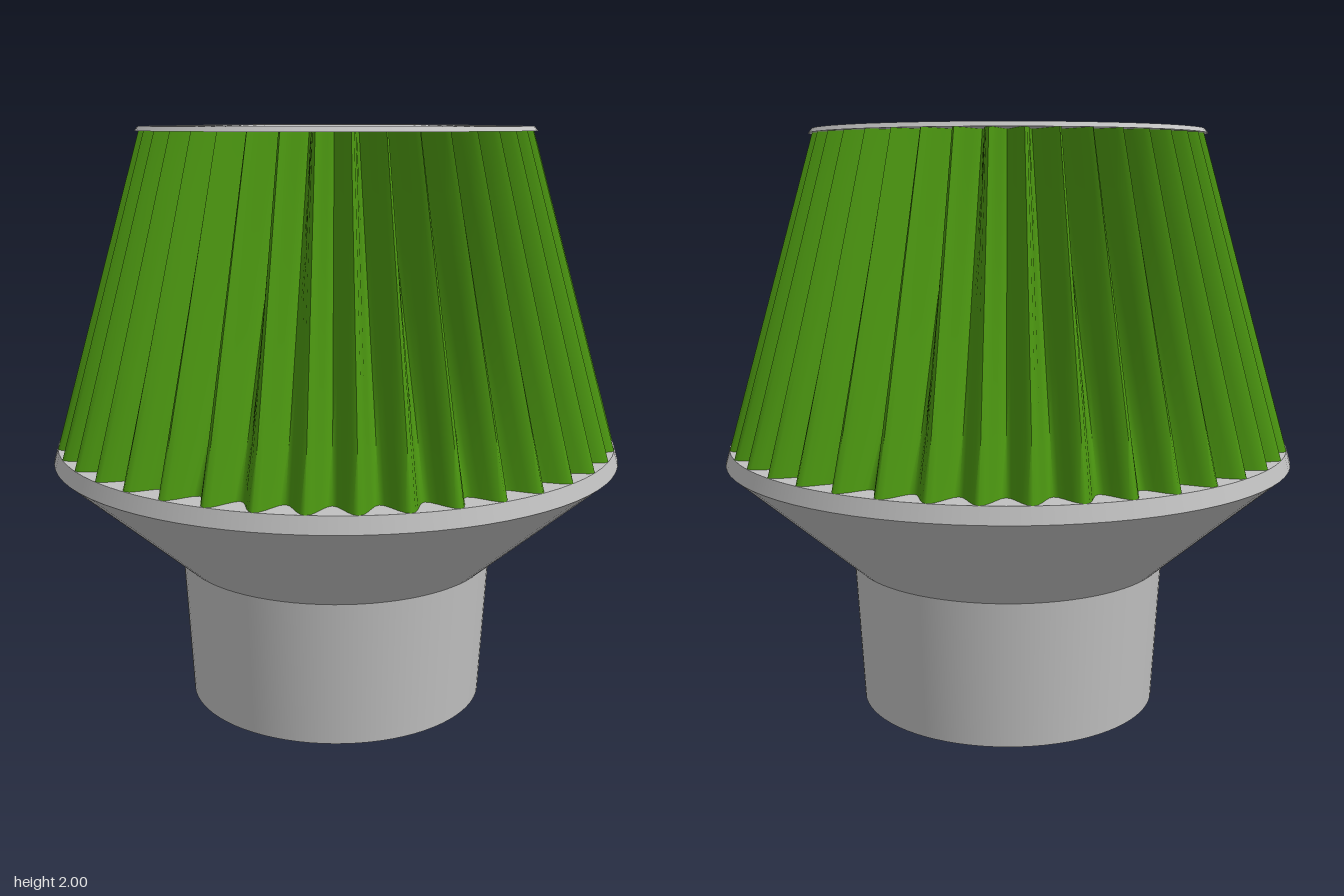
import * as THREE from 'three';
import { mergeGeometries, toCreasedNormals } from 'three/addons/utils/BufferGeometryUtils.js';

const PLEATS = 40;

// Revolve each profile segment on its own so that the corners stay sharp
function sharpLathe(profile) {
  const parts = [];
  for (let i = 0; i < profile.length - 1; i++) {
    const pts = [profile[i], profile[i + 1]].map(([r, y]) => new THREE.Vector2(r, y));
    parts.push(new THREE.LatheGeometry(pts, 80));
  }
  return mergeGeometries(parts);
}

// Tapered wall with wave-shaped pleats that deepen towards the top
function pleatedWall(y0, y1) {
  const geo = new THREE.CylinderGeometry(1, 1, 1, PLEATS * 10, 6, true);
  const pos = geo.attributes.position;
  for (let i = 0; i < pos.count; i++) {
    const t = pos.getY(i) + 0.5;
    const angle = Math.atan2(pos.getX(i), pos.getZ(i));
    const outer = THREE.MathUtils.lerp(0.965, 0.66, t);
    const inner = THREE.MathUtils.lerp(0.87, 0.48, t);
    const r = (outer + inner) / 2 - (outer - inner) / 2 * Math.cos(PLEATS * angle);
    pos.setXYZ(i, r * Math.sin(angle), y0 + t * (y1 - y0), r * Math.cos(angle));
  }
  return toCreasedNormals(geo, 1.2);
}

export function createModel() {
  const metal = new THREE.MeshStandardMaterial({ color: 0xc0c0c0, side: THREE.DoubleSide });
  metal.name = 'grey metal';
  const fabric = new THREE.MeshStandardMaterial({ color: 0x4a9410, side: THREE.DoubleSide });
  fabric.name = 'green filter';

  const model = new THREE.Group();
  model.name = 'coneAirFilter';
  const add = (name, geometry, material) => {
    const mesh = new THREE.Mesh(geometry, material);
    mesh.name = name;
    model.add(mesh);
  };

  // Thin open neck, slightly wider at the top
  add('neck', sharpLathe([[0.52, 0], [0.548, 0.5]]), metal);

  // Flared funnel with a bevelled rim and a flat seat for the pleats
  add('funnel', sharpLathe([[0.548, 0.5], [0.98, 0.875], [0.965, 0.928], [0.84, 0.928]]), metal);

  // Pleated filter wall
  add('pleats', pleatedWall(0.928, 1.98), fabric);

  // Ring cap with a short collar round its hole
  add('topCap', sharpLathe([[0.38, 1.98], [0.672, 1.98], [0.66, 1.995], [0.38, 2], [0.38, 1.94]]), metal);

  return model;
}
